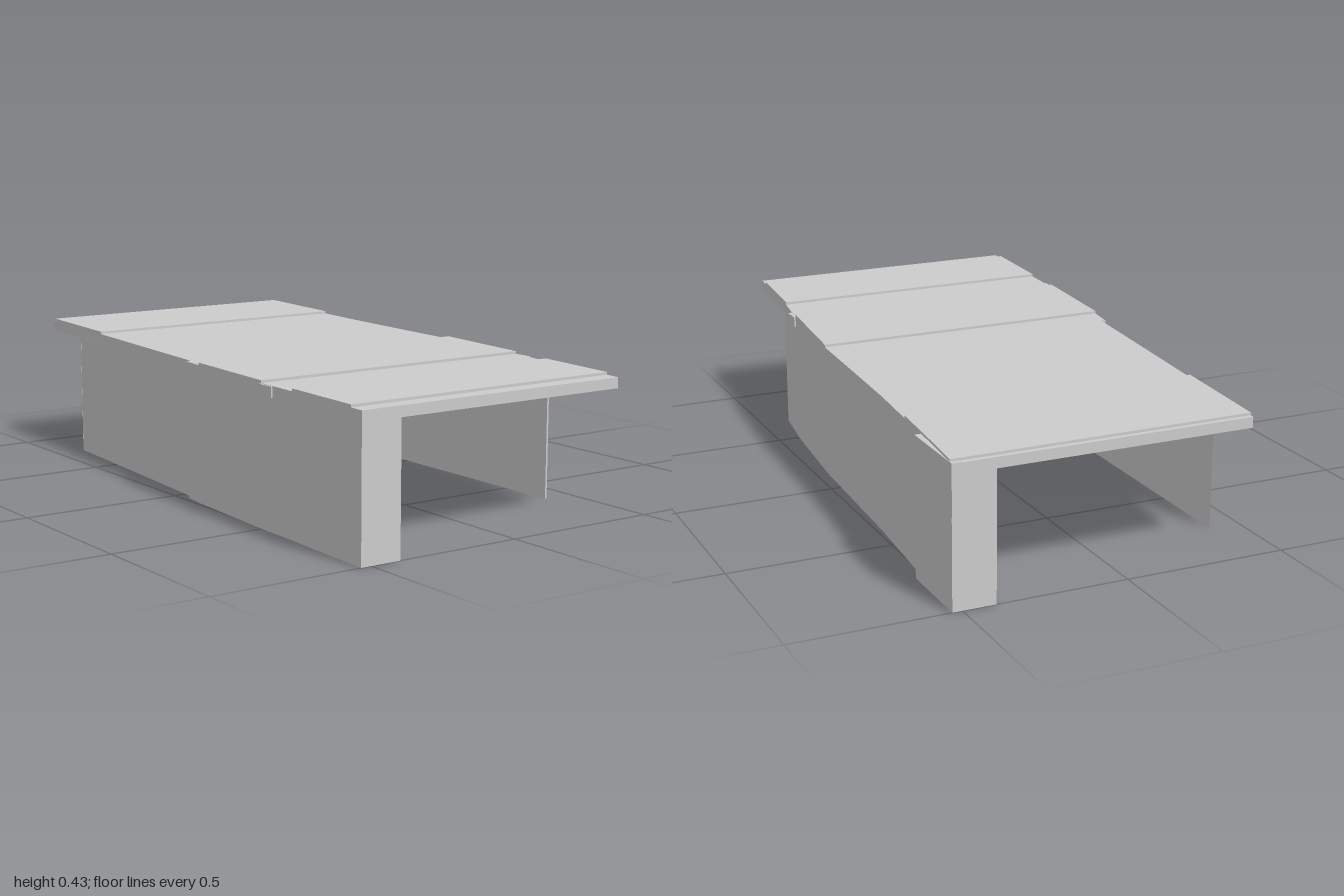
import * as THREE from 'three';

const material = new THREE.MeshStandardMaterial({ color: 0xcccccc, flatShading: true });

// Deck edges in plan as [x, z], from back to front
const rightEdge = [[0.53, -1], [0.51, -0.75], [0.5, -0.61], [0.485, -0.4], [0.47, -0.05],
  [0.463, 0.13], [0.43, 0.5], [0.408, 0.66], [0.378, 1]];
const leftEdge = [[-0.385, -1], [-0.413, -0.61], [-0.465, 0.04], [-0.48, 0.05],
  [-0.49, 0.13], [-0.513, 0.5], [-0.515, 0.6], [-0.532, 1]];

// Edge position at a given z
function edgeX(edge, z) {
  let i = 1;
  while (i < edge.length - 1 && edge[i][1] < z) i++;
  const [x0, z0] = edge[i - 1], [x1, z1] = edge[i];
  return x0 + (x1 - x0) * (z - z0) / (z1 - z0);
}

// The piece of an edge between two z values
function edgePart(edge, z0, z1) {
  return [[edgeX(edge, z0), z0], ...edge.filter(p => p[1] > z0 && p[1] < z1), [edgeX(edge, z1), z1]];
}

// Vertical prism over a plan outline
function prism(name, outline, y0, y1) {
  const shape = new THREE.Shape(outline.map(([x, z]) => new THREE.Vector2(x, z)));
  const geometry = new THREE.ExtrudeGeometry(shape, { depth: y1 - y0, bevelEnabled: false });
  geometry.rotateX(Math.PI / 2).translate(0, y1, 0);
  const mesh = new THREE.Mesh(geometry, material);
  mesh.name = name;
  return mesh;
}

// Slab that spans both edges
function slab(name, z0, z1, y0, y1) {
  const outline = [...edgePart(rightEdge, z0, z1), ...edgePart(leftEdge, z0, z1).reverse()];
  return prism(name, outline, y0, y1);
}

function block(name, x0, x1, y0, y1, z0, z1) {
  return prism(name, [[x0, z0], [x1, z0], [x1, z1], [x0, z1]], y0, y1);
}

export function createModel() {
  const group = new THREE.Group();
  group.name = 'slabBridge';

  // Deck with three raised bands
  group.add(slab('deck', -1, 1, 0.388, 0.42));
  for (const [z0, z1] of [[-0.985, -0.61], [0.13, 0.5], [0.66, 0.95]]) {
    group.add(slab('raisedBand', z0, z1, 0.42, 0.428));
  }

  // Wedge-shaped side walls: straight inside, following the deck edge outside
  group.add(prism('rightWall', [[0.4, -1], ...edgePart(rightEdge, -1, 0.68), [0.4, 0.68]], 0, 0.388));
  group.add(prism('leftWall', [[-0.402, -0.77], ...edgePart(leftEdge, -0.77, 1), [-0.402, 1]], 0, 0.388));

  // Corner post at the back of the right wall
  group.add(block('cornerPost', 0.5, 0.53, 0, 0.421, -0.999, -0.75));

  // Small tabs under the deck edges
  group.add(block('rightTab', 0.4, 0.435, 0.387, 0.419, 0.5, 0.56));
  group.add(block('leftFrontTab', -0.52, -0.49, 0.387, 0.419, 0.5, 0.56));
  group.add(block('leftMiddleTab', -0.482, -0.46, 0.387, 0.419, 0.045, 0.08));

  return group;
}
